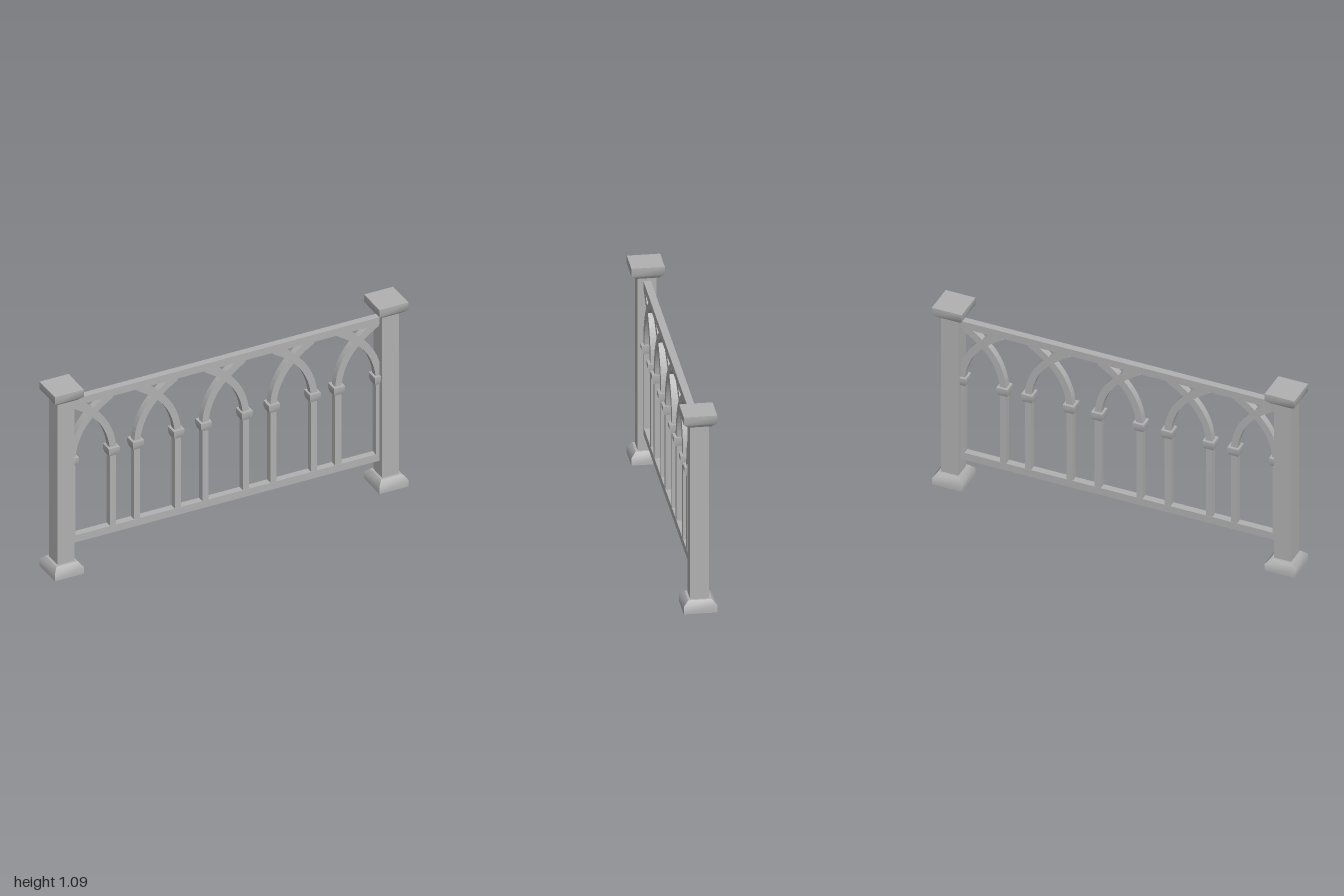
import * as THREE from 'three';

const stone = new THREE.MeshStandardMaterial({ color: 0xb0b0b0 });
stone.name = 'grey stone';

function add(parent, name, geometry, x = 0, y = 0, z = 0) {
  const mesh = new THREE.Mesh(geometry, stone);
  mesh.name = name;
  mesh.position.set(x, y, z);
  parent.add(mesh);
  return mesh;
}

// Square block from rings [halfX, halfZ, y] listed bottom to top.
// Each side is its own strip, smooth vertically with hard corners; ends are closed.
function ringBlock(rings) {
  const pos = [], idx = [];
  const corners = [[1, 1], [1, -1], [-1, -1], [-1, 1]];
  for (let s = 0; s < 4; s++) {
    const a = corners[s], b = corners[(s + 1) % 4], base = pos.length / 3;
    rings.forEach(([hx, hz, y], i) => {
      pos.push(a[0] * hx, y, a[1] * hz, b[0] * hx, y, b[1] * hz);
      if (i === 0) return;
      const k = base + (i - 1) * 2;
      idx.push(k, k + 1, k + 3, k, k + 3, k + 2);
    });
  }
  [rings[0], rings[rings.length - 1]].forEach(([hx, hz, y], end) => {
    const k = pos.length / 3;
    corners.forEach(([cx, cz]) => pos.push(cx * hx, y, cz * hz));
    if (end) idx.push(k, k + 1, k + 2, k, k + 2, k + 3);
    else idx.push(k, k + 2, k + 1, k, k + 3, k + 2);
  });
  const g = new THREE.BufferGeometry();
  g.setAttribute('position', new THREE.Float32BufferAttribute(pos, 3));
  g.setIndex(idx);
  g.computeVertexNormals();
  return g;
}

// Curved rib from a column, through the crossing, up into the top rail.
function ribGeometry(side) {
  const curve = new THREE.CatmullRomCurve3([
    [-0.116, 0.645], [-0.105, 0.715], [-0.08, 0.784], [-0.045, 0.841],
    [0, 0.89], [0.045, 0.927], [0.105, 0.968],
  ].map(([x, y]) => new THREE.Vector3(x, y, 0)));
  const left = [], right = [], n = 16;
  for (let i = 0; i <= n; i++) {
    const t = i / n, p = curve.getPoint(t), d = curve.getTangent(t);
    const h = 0.018 + 0.003 * t;
    left.push(new THREE.Vector2(side * (p.x - d.y * h), p.y + d.x * h));
    right.push(new THREE.Vector2(side * (p.x + d.y * h), p.y - d.x * h));
  }
  const shape = new THREE.Shape([...left, ...right.reverse()]);
  const g = new THREE.ExtrudeGeometry(shape, { depth: 0.036, bevelEnabled: false });
  return g.translate(0, 0, -0.018);
}

export function createModel() {
  const model = new THREE.Group();
  model.name = 'balustrade';

  // End posts with chamfered bases and caps
  const baseGeo = ringBlock([[0.082, 0.085, 0], [0.082, 0.085, 0.04], [0.06, 0.06, 0.066]]);
  const capGeo = ringBlock([[0.06, 0.06, 1.02], [0.082, 0.085, 1.045], [0.082, 0.085, 1.087]]);
  const shaftGeo = new THREE.BoxGeometry(0.095, 0.98, 0.096);
  for (const s of [-1, 1]) {
    const post = new THREE.Group();
    post.name = s > 0 ? 'leftPost' : 'rightPost';
    post.position.x = s * 0.918;
    add(post, 'postBase', baseGeo);
    add(post, 'postShaft', shaftGeo, 0, 0.54);
    add(post, 'postCap', capGeo);
    model.add(post);
  }

  // Horizontal rails
  add(model, 'topRail', new THREE.BoxGeometry(1.76, 0.042, 0.038), 0, 0.979);
  add(model, 'bottomRail', new THREE.BoxGeometry(1.76, 0.042, 0.038), 0, 0.173);

  // Five bays, each with two columns, two capitals and a pair of crossing ribs
  const columnGeo = new THREE.BoxGeometry(0.034, 0.43, 0.036);
  const capitalGeo = ringBlock([[0.026, 0.025, 0.61], [0.031, 0.033, 0.632], [0.031, 0.033, 0.658]]);
  const ribs = { '-1': ribGeometry(-1), '1': ribGeometry(1) };
  for (const x of [-0.752, -0.385, 0, 0.385, 0.752]) {
    const bay = new THREE.Group();
    bay.name = 'archBay';
    bay.position.x = x;
    for (const s of [-1, 1]) {
      add(bay, 'column', columnGeo, s * 0.115, 0.405);
      add(bay, 'capital', capitalGeo, s * 0.115);
      add(bay, 'archRib', ribs[s]);
    }
    model.add(bay);
  }
  return model;
}
